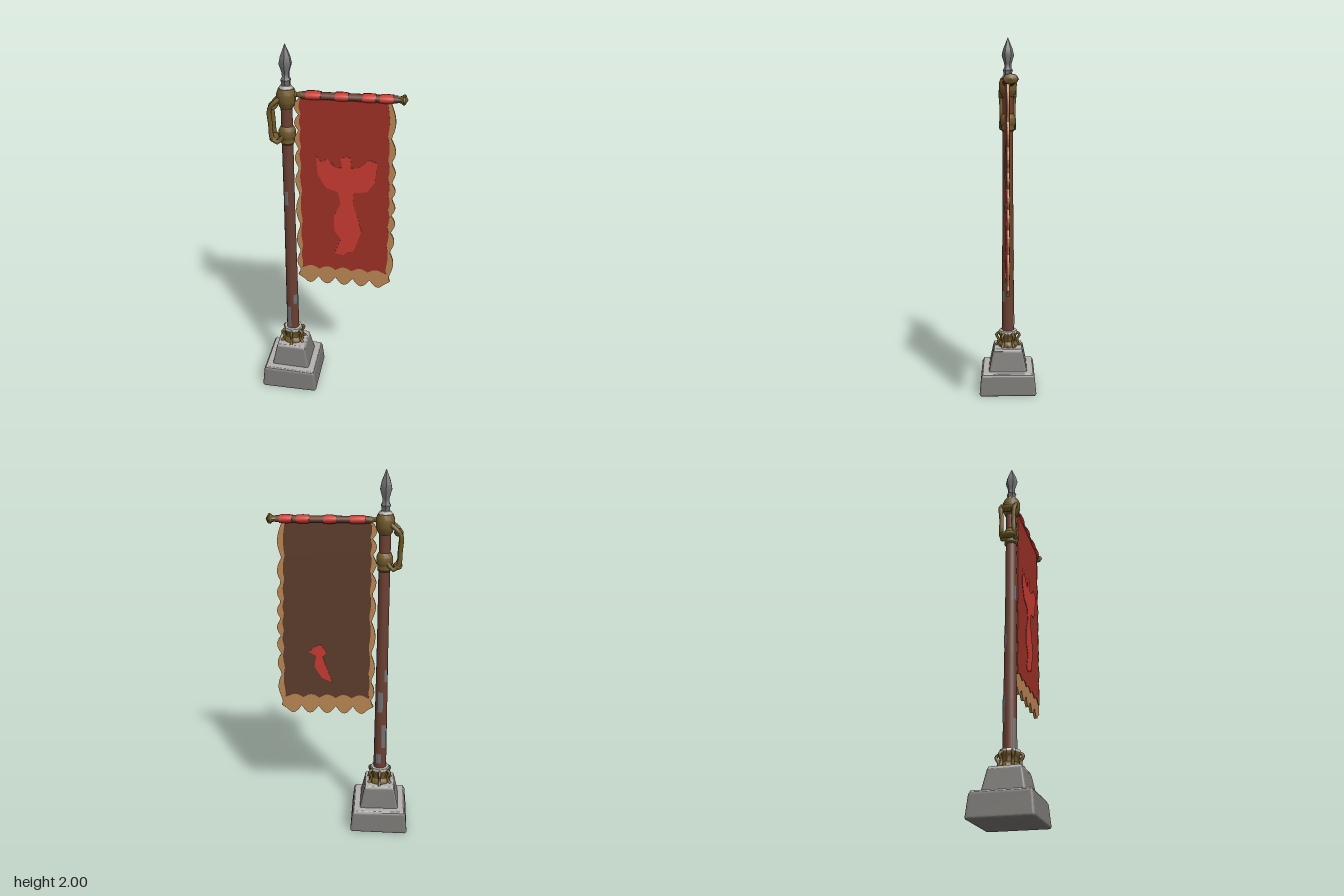
import * as THREE from 'three';
import { RoundedBoxGeometry } from 'three/addons/geometries/RoundedBoxGeometry.js';
import { toCreasedNormals } from 'three/addons/utils/BufferGeometryUtils.js';

const POLE_X = -0.22;
const V = (x, y, z) => new THREE.Vector3(x, y, z);

function material(name, color) {
  const m = new THREE.MeshStandardMaterial({ color });
  m.name = name;
  return m;
}

export function createModel() {
  const stone = material('stone', 0x7a7875);
  const paleStone = material('pale stone', 0xb2b1ae);
  const bronze = material('bronze', 0x70592a);
  const wood = material('wood', 0x6b4032);
  const steel = material('steel', 0x707072);
  const brightRed = material('bright red', 0xc83a30);
  const darkRed = material('dark red', 0x9c3026);
  const backBrown = material('back cloth brown', 0x5c3c2b);
  const tan = material('tan trim', 0xb98552);

  const model = new THREE.Group();
  model.name = 'bannerStand';
  const add = (name, geometry, mat, x = 0, y = 0, z = 0, parent = model) => {
    const mesh = new THREE.Mesh(geometry, mat);
    mesh.name = name;
    mesh.position.set(x, y, z);
    parent.add(mesh);
    return mesh;
  };
  const lathe = (points, sides) => toCreasedNormals(
    new THREE.LatheGeometry(points.map(([r, y]) => new THREE.Vector2(r, y)), sides), 0.7);
  const tube = (points, radius, closed = false) =>
    new THREE.TubeGeometry(new THREE.CatmullRomCurve3(points, closed), 14, radius, 7, closed);

  // Stepped stone base: rounded blocks tapered upward, slightly uneven
  const base = new THREE.Group();
  base.name = 'base';
  base.position.x = POLE_X;
  model.add(base);
  function block(name, bottomHalf, topHalf, y0, y1, mat, radius) {
    const h = y1 - y0;
    const g = new RoundedBoxGeometry(2 * bottomHalf, h, 2 * bottomHalf, 3, radius);
    const p = g.attributes.position;
    for (let i = 0; i < p.count; i++) {
      const t = p.getY(i) / h + 0.5;
      const s = 1 + (topHalf / bottomHalf - 1) * t;
      const wobble = 0.003 * Math.sin(p.getX(i) * 14 + p.getZ(i) * 21);
      p.setXYZ(i, p.getX(i) * s + wobble, p.getY(i) + wobble * t, p.getZ(i) * s - wobble);
    }
    g.computeVertexNormals();
    add(name, g, mat, 0, (y0 + y1) / 2, 0, base);
  }
  block('lowerStep', 0.163, 0.151, 0, 0.125, stone, 0.014);
  block('lowerStepTop', 0.147, 0.143, 0.115, 0.131, paleStone, 0.004);
  block('upperStep', 0.113, 0.084, 0.11, 0.25, stone, 0.014);
  block('upperStepTop', 0.085, 0.08, 0.24, 0.256, paleStone, 0.004);

  // Bronze foot collar with curled claws
  add('footCollar', lathe([[0.062, 0.25], [0.06, 0.27], [0.046, 0.285], [0.046, 0.31],
    [0.054, 0.32], [0.054, 0.338], [0.03, 0.342]], 8), bronze, POLE_X);
  add('footCollarTop', lathe([[0.055, 0.334], [0.052, 0.347], [0.03, 0.35]], 8), paleStone, POLE_X);
  for (let i = 0; i < 6; i++) {
    const a = Math.PI / 2 + i * Math.PI / 3, c = Math.cos(a), s = Math.sin(a);
    const claw = [[0.045, 0.335], [0.067, 0.318], [0.054, 0.29], [0.06, 0.265], [0.074, 0.254]];
    add('footClaw', tube(claw.map(([r, y]) => V(r * c, y, r * s)), 0.008), bronze, POLE_X);
  }

  // Wooden pole with thin worn metal patches
  const poleRadius = (y) => 0.036 - 0.006 * Math.min(1, Math.max(0, (y - 0.34) / 0.8));
  add('pole', lathe([0.33, 0.6, 0.85, 1.14, 1.72].map((y) => [poleRadius(y), y]), 12), wood, POLE_X);
  const patches = [[0.35, 0.5, 5.4, 0.8], [0.52, 0.58, 0.4, 0.6], [0.48, 0.62, 3.3, 0.9],
    [0.7, 0.82, 2.6, 0.8], [0.88, 0.95, 3.6, 0.7], [1.15, 1.23, 5.6, 0.7], [0.38, 0.44, 2.5, 0.8]];
  for (const [y0, y1, angle, width] of patches) {
    const g = new THREE.CylinderGeometry(poleRadius(y1) + 0.002, poleRadius(y0) + 0.002,
      y1 - y0, 5, 1, true, angle, width);
    add('polePatch', g, steel, POLE_X, (y0 + y1) / 2);
  }

  // Bronze rings on the upper pole and the spear tip
  add('lowerRing', lathe([[0.03, 1.49], [0.038, 1.5], [0.036, 1.52], [0.044, 1.535],
    [0.044, 1.565], [0.034, 1.585], [0.03, 1.588]], 10), bronze, POLE_X);
  add('upperSocket', lathe([[0.03, 1.68], [0.037, 1.69], [0.048, 1.715], [0.05, 1.755],
    [0.04, 1.782], [0.022, 1.79]], 10), bronze, POLE_X);
  add('socketTop', lathe([[0.037, 1.783], [0.028, 1.797], [0.018, 1.8]], 8), paleStone, POLE_X);
  add('spearTip', lathe([[0.024, 1.785], [0.024, 1.815], [0.028, 1.825], [0.019, 1.84],
    [0.02, 1.86], [0.034, 1.905], [0.026, 1.94], [0.001, 2.0]], 6), steel, POLE_X);

  // Side handle made of two bars joined at both ends
  for (const s of [-1, 1]) {
    add('handleBar', tube([V(-0.24, 1.74, 0.025 * s), V(-0.275, 1.715, 0.04 * s), V(-0.3, 1.68, 0.038 * s),
      V(-0.298, 1.6, 0.033 * s), V(-0.292, 1.53, 0.036 * s), V(-0.265, 1.507, 0.036 * s),
      V(-0.235, 1.54, 0.028 * s)], 0.012), bronze);
  }
  for (const y of [1.69, 1.52]) {
    add('handleJoint', new THREE.SphereGeometry(1, 10, 7), bronze, -0.288, y).scale.set(0.024, 0.018, 0.052);
  }

  // Crossbar: flattened wooden rod with cloth wraps and bronze ends
  const crossbar = new THREE.Group();
  crossbar.name = 'crossbar';
  crossbar.position.y = 1.752;
  crossbar.scale.y = 0.68;
  model.add(crossbar);
  const along = (name, profile, mat, sides = 12) => {
    add(name, lathe(profile.map(([x, r]) => [r, x]), sides).rotateZ(-Math.PI / 2).scale(1, 1, 1), mat, 0, 0, 0, crossbar);
  };
  along('rod', [[-0.14, 0.026], [0.33, 0.026]], wood);
  along('innerFitting', [[-0.2, 0.03], [-0.165, 0.016], [-0.15, 0.022], [-0.11, 0.024]], bronze);
  along('outerFitting', [[0.305, 0.024], [0.335, 0.022], [0.348, 0.026], [0.358, 0.04],
    [0.366, 0.036], [0.38, 0.001]], bronze, 8);
  for (const [a, b] of [[-0.12, -0.045], [0.025, 0.09], [0.16, 0.225], [0.245, 0.31]]) {
    along('clothWrap', [[a, 0.024], [a, 0.031], [(a + b) / 2, 0.034], [b, 0.031], [b, 0.024]], brightRed);
  }

  // Hanging cloth outline with torn, scalloped edges
  const shapeOf = (points) => new THREE.Shape(points.map(([x, y]) => new THREE.Vector2(x, y)));
  function clothShape(left, right, bottom, top, depth, bottomDepth) {
    const pts = [];
    const lobe = (t, n) => Math.abs(Math.sin(Math.PI * n * t));
    for (let i = 0; i <= 50; i++) {
      const t = i / 50;
      pts.push([left - depth * lobe(t + 0.08 * Math.sin(5 * t), 9), top + (bottom - top) * t]);
    }
    for (let i = 1; i < 30; i++) {
      const t = i / 30;
      pts.push([left + (right - left) * t, bottom - bottomDepth * lobe(t, 5)]);
    }
    for (let i = 50; i >= 0; i--) {
      const t = i / 50;
      const flare = 0.022 * Math.min(1, t * 1.6);
      pts.push([right - 0.014 + flare + depth * lobe(t - 0.06 * Math.sin(6 * t), 8), top + (bottom - top) * t]);
    }
    return shapeOf(pts);
  }
  const banner = new THREE.Group();
  banner.name = 'banner';
  model.add(banner);
  const plate = (name, shape, mat, z, depth) => add(name,
    new THREE.ExtrudeGeometry(shape, { depth, bevelEnabled: false }), mat, 0, 0, z, banner);
  plate('trim', clothShape(-0.158, 0.315, 0.715, 1.735, 0.023, 0.045), tan, 0.003, 0.014);
  const panel = clothShape(-0.146, 0.298, 0.765, 1.738, 0.009, -0.02);
  plate('frontCloth', panel, darkRed, 0.016, 0.004);
  plate('backCloth', panel, backBrown, 0, 0.004);

  // Winged figure on the front
  plate('frontFigure', shapeOf([[-0.07, 1.44], [-0.064, 1.34], [-0.02, 1.265], [0.042, 1.245],
    [0.058, 1.18], [0.022, 1.1], [0.026, 1.01], [0.06, 0.965], [0.028, 0.875], [0.075, 0.865],
    [0.1, 0.89], [0.127, 0.89], [0.15, 0.955], [0.17, 1.02], [0.148, 1.1], [0.122, 1.18],
    [0.127, 1.245], [0.195, 1.255], [0.233, 1.31], [0.243, 1.42], [0.2, 1.435], [0.145, 1.385],
    [0.106, 1.385], [0.112, 1.435], [0.085, 1.45], [0.055, 1.43], [0.065, 1.385], [0.032, 1.38],
    [-0.015, 1.43], [-0.04, 1.405]]), brightRed, 0.018, 0.004);

  // Small painted mark on the back
  plate('backMark', shapeOf([[0.175, 1.035], [0.145, 1.065], [0.11, 1.08], [0.08, 1.035], [0.1, 1.01],
    [0.085, 0.96], [0.05, 0.86], [0.105, 0.885], [0.145, 0.95], [0.135, 1.015]]), brightRed, -0.002, 0.004);

  return model;
}
